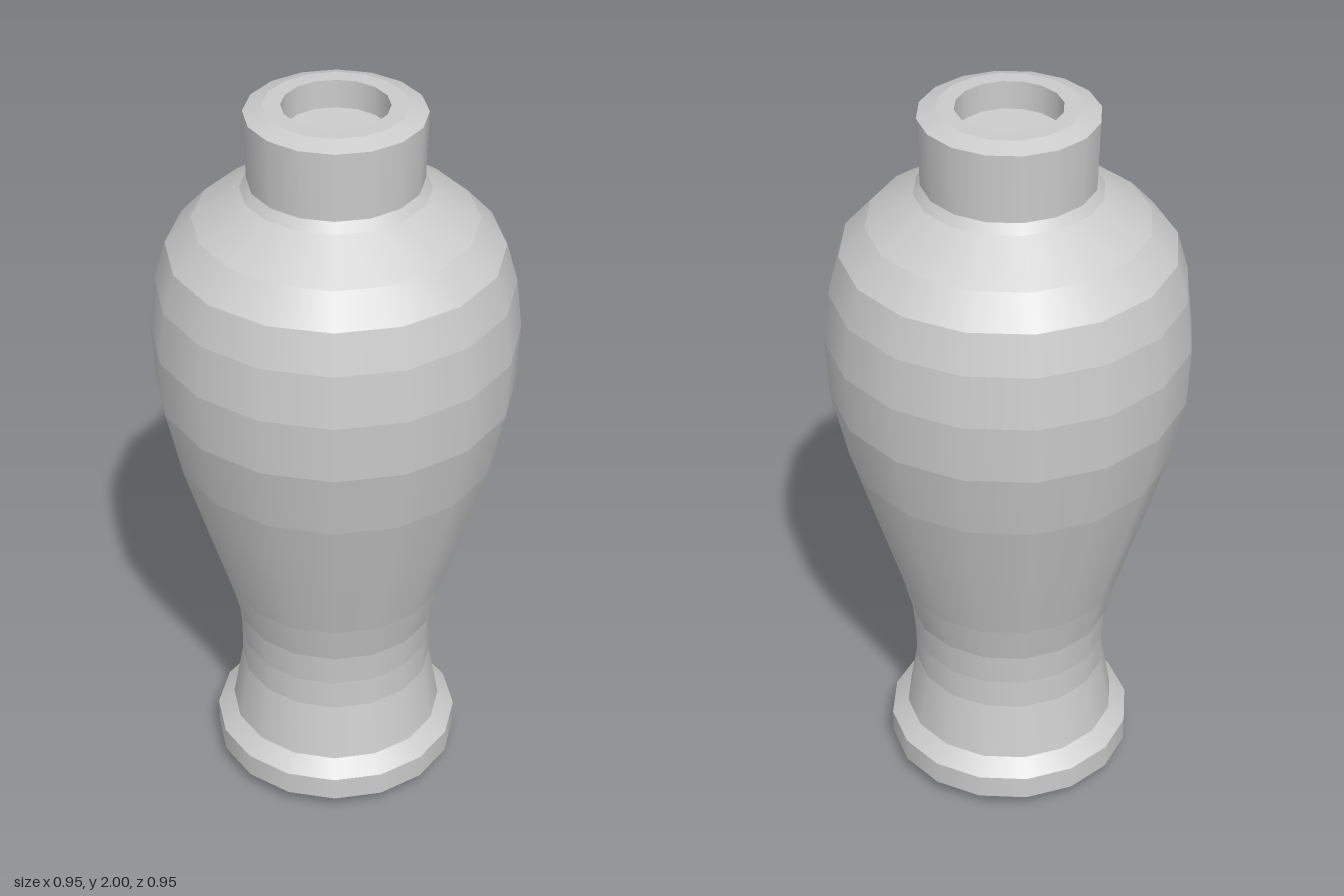
import * as THREE from 'three';
import { mergeGeometries } from 'three/addons/utils/BufferGeometryUtils.js';

const SIDES = 16;

// Turned surface: smooth around the axis, with a crisp edge at every ring.
function turned(name, profile, material) {
  const points = profile.map(([r, y]) => new THREE.Vector2(r, y));
  const bands = points.slice(1).map((p, i) => new THREE.LatheGeometry([points[i], p], SIDES));
  const mesh = new THREE.Mesh(mergeGeometries(bands), material);
  mesh.name = name;
  return mesh;
}

export function createModel() {
  const group = new THREE.Group();
  group.name = 'vase';
  const material = new THREE.MeshStandardMaterial({ color: 0xcccccc });

  // Foot with a shallow domed underside and a bevelled top edge
  group.add(turned('foot', [
    [0, 0], [0.22, 0.018], [0.333, 0.05], [0.333, 0.117], [0.288, 0.157],
  ], material));

  // Waisted stem swelling into a broad shoulder
  group.add(turned('body', [
    [0.288, 0.157], [0.26, 0.315], [0.26, 0.4], [0.268, 0.49], [0.296, 0.6],
    [0.355, 0.79], [0.425, 1.02], [0.467, 1.21], [0.475, 1.37], [0.46, 1.51],
    [0.43, 1.615], [0.362, 1.69], [0.24, 1.775], [0.222, 1.8],
  ], material));

  // Neck and rim
  group.add(turned('neck', [
    [0.222, 1.8], [0.228, 1.983], [0.18, 2], [0.135, 2],
  ], material));

  // Shallow well inside the mouth
  group.add(turned('mouth', [[0.135, 2], [0.135, 1.925], [0, 1.92]], material));

  return group;
}
